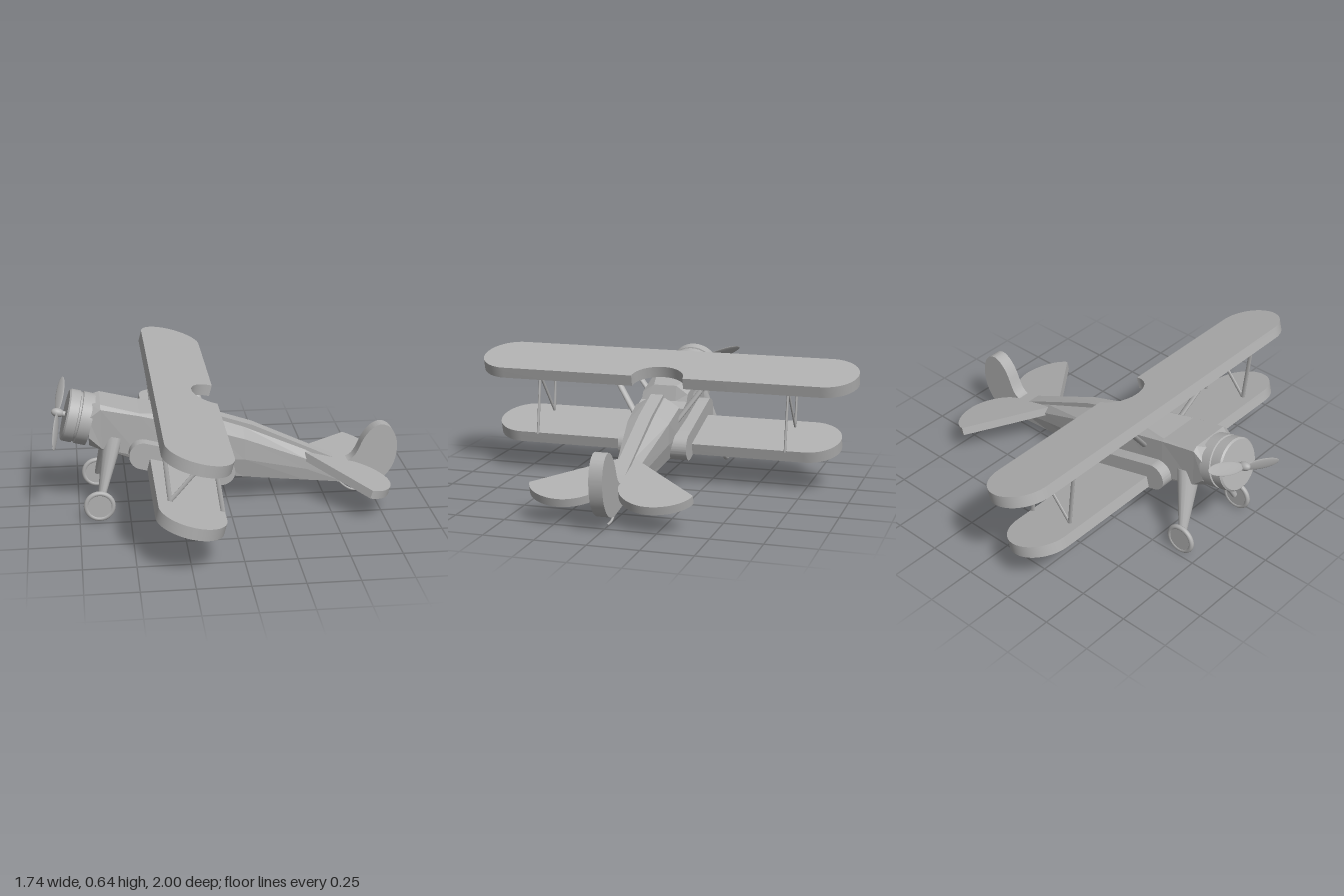
import * as THREE from 'three';
import { toCreasedNormals } from 'three/addons/utils/BufferGeometryUtils.js';

const TILT = 0.26; // nose-up attitude, nose towards -x

export function createModel() {
  const model = new THREE.Group();
  const grey = new THREE.MeshStandardMaterial({ color: 0xb0b0b0 });
  grey.name = 'plain grey';

  const add = (name, geo, parent = model) => {
    const mesh = new THREE.Mesh(geo, grey);
    mesh.name = name;
    parent.add(mesh);
    return mesh;
  };
  // extruded slab, centred on its thickness
  const slab = (shape, depth, curveSegments = 20) => toCreasedNormals(
    new THREE.ExtrudeGeometry(shape, { depth, bevelEnabled: false, curveSegments }).translate(0, 0, -depth / 2), 0.6);
  // horizontal slab following the tilt of the aircraft
  const tiltedPlate = (shape, depth, x, y) =>
    slab(shape, depth).rotateX(-Math.PI / 2).rotateZ(-TILT).translate(x, y, 0);
  // tapered rod from a to b, flattened sideways
  const rod = (name, a, b, ra, rb, flat = 1) => {
    const p = new THREE.Vector3(...a), q = new THREE.Vector3(...b);
    const dir = q.clone().sub(p);
    const geo = new THREE.CylinderGeometry(rb, ra, dir.length(), 14).scale(1, 1, flat);
    const mesh = add(name, geo);
    mesh.quaternion.setFromUnitVectors(new THREE.Vector3(0, 1, 0), dir.normalize());
    mesh.position.copy(p).add(q).multiplyScalar(0.5);
  };
  // faceted hull from rows: x, then (y, half width) for top, shoulder, chine, bottom
  const hull = (rows) => {
    const rings = rows.map(([x, ...s]) => {
      const left = [0, 2, 4, 6].map((i) => [x, s[i], s[i + 1]]);
      return [...left, ...left.map(([a, y, z]) => [a, y, -z]).reverse()];
    });
    const pos = [];
    const tri = (...pts) => pts.forEach((p) => pos.push(...p));
    for (let r = 0; r < rings.length - 1; r++) {
      for (let i = 0; i < 8; i++) {
        const j = (i + 1) % 8, A = rings[r], B = rings[r + 1];
        tri(A[i], A[j], B[j]);
        tri(A[i], B[j], B[i]);
      }
    }
    const first = rings[0], last = rings[rings.length - 1];
    for (let i = 1; i < 7; i++) {
      tri(first[0], first[i + 1], first[i]);
      tri(last[0], last[i], last[i + 1]);
    }
    const geo = new THREE.BufferGeometry();
    geo.setAttribute('position', new THREE.Float32BufferAttribute(pos, 3));
    geo.computeVertexNormals();
    return geo;
  };

  // fuselage, with the open cockpit dip ahead of the spine
  add('fuselage', hull([
    [-0.69, 0.56, 0.06, 0.50, 0.12, 0.40, 0.12, 0.34, 0.06],
    [-0.63, 0.565, 0.10, 0.545, 0.123, 0.34, 0.115, 0.32, 0.08],
    [-0.44, 0.515, 0.11, 0.505, 0.123, 0.29, 0.12, 0.265, 0.11],
    [-0.21, 0.487, 0.06, 0.445, 0.12, 0.225, 0.12, 0.205, 0.11],
    [-0.195, 0.41, 0.06, 0.41, 0.12, 0.223, 0.12, 0.202, 0.11],
    [-0.14, 0.385, 0.06, 0.385, 0.118, 0.23, 0.118, 0.188, 0.11],
    [-0.085, 0.40, 0.05, 0.395, 0.115, 0.25, 0.115, 0.175, 0.10],
    [-0.075, 0.45, 0.04, 0.405, 0.115, 0.255, 0.115, 0.172, 0.10],
    [0.08, 0.395, 0.035, 0.355, 0.108, 0.245, 0.105, 0.143, 0.08],
    [0.40, 0.255, 0.033, 0.215, 0.06, 0.16, 0.058, 0.095, 0.045],
    [0.60, 0.17, 0.03, 0.13, 0.033, 0.11, 0.033, 0.068, 0.03],
  ]));
  const spine = new THREE.Shape([
    [-0.08, 0.38], [0.1, 0.33], [0.6, 0.1], [0.6, 0.18], [0.13, 0.4], [-0.07, 0.467],
  ].map((p) => new THREE.Vector2(...p)));
  add('spine', slab(spine, 0.066));

  // engine cowl with a groove round the middle
  const cowlProfile = [[0, -0.063], [0.131, -0.063], [0.131, -0.006], [0.124, -0.003], [0.124, 0.006],
    [0.131, 0.009], [0.131, 0.055], [0.123, 0.063], [0, 0.063]].map((p) => new THREE.Vector2(...p));
  const cowl = add('engineCowl', toCreasedNormals(new THREE.LatheGeometry(cowlProfile, 40), 0.5));
  cowl.rotation.z = Math.PI / 2 - TILT;
  cowl.position.set(-0.742, 0.47, 0);

  // propeller
  const propeller = new THREE.Group();
  propeller.name = 'propeller';
  propeller.position.set(-0.838, 0.496, 0);
  propeller.rotation.z = -TILT;
  model.add(propeller);
  add('spinner', new THREE.SphereGeometry(0.022, 20, 14).scale(1.5, 1, 1), propeller);
  add('propellerShaft', new THREE.CylinderGeometry(0.014, 0.014, 0.07, 16).rotateZ(Math.PI / 2), propeller)
    .position.x = 0.03;
  for (const turn of [0, Math.PI]) {
    const blade = add('propellerBlade', new THREE.SphereGeometry(1, 18, 14)
      .scale(0.006, 0.128, 0.034).rotateY(0.5).translate(0, 0.137, 0), propeller);
    blade.rotation.x = -1.16 + turn;
  }

  // wings with round tips; the upper one has a cockpit cutout
  const wingShape = (half, chord, cutout) => {
    const s = new THREE.Shape(), r = chord / 2, e = half - r;
    s.moveTo(r, -e);
    if (cutout) {
      s.lineTo(r, -0.135);
      s.absellipse(r, 0, 0.12, 0.135, -Math.PI / 2, Math.PI / 2, true);
    }
    s.lineTo(r, e);
    s.absarc(0, e, r, 0, Math.PI, false);
    s.lineTo(-r, -e);
    s.absarc(0, -e, r, Math.PI, Math.PI * 2, false);
    return s;
  };
  add('upperWing', tiltedPlate(wingShape(1, 0.325, true), 0.058, -0.223, 0.572));
  add('lowerWing', tiltedPlate(wingShape(0.917, 0.325, false), 0.058, -0.247, 0.232));

  // capsule fairing where the lower wing meets the body
  add('wingRootFairing', slab(wingShape(0.268, 0.136, false), 0.36)
    .rotateZ(Math.PI / 2 - TILT).translate(-0.237, 0.264, 0));

  // tailplane halves
  for (const side of [1, -1]) {
    const t = new THREE.Shape();
    t.moveTo(-0.2, 0);
    t.lineTo(-0.2, side * 0.045);
    t.lineTo(0.085, side * 0.4);
    t.bezierCurveTo(0.16, side * 0.385, 0.215, side * 0.3, 0.215, side * 0.215);
    t.bezierCurveTo(0.215, side * 0.12, 0.13, side * 0.035, 0.04, side * 0.03);
    t.lineTo(0.04, 0);
    add(side > 0 ? 'rightTailplane' : 'leftTailplane', tiltedPlate(t, 0.042, 0.585, 0.174));
  }

  // fin and rudder
  const fin = new THREE.Shape();
  fin.moveTo(0.52, 0.21);
  fin.lineTo(0.575, 0.188);
  fin.bezierCurveTo(0.65, 0.17, 0.665, 0.23, 0.69, 0.285);
  fin.bezierCurveTo(0.72, 0.345, 0.76, 0.374, 0.79, 0.374);
  fin.bezierCurveTo(0.845, 0.372, 0.873, 0.31, 0.873, 0.25);
  fin.bezierCurveTo(0.873, 0.14, 0.81, 0.05, 0.7, 0.052);
  fin.lineTo(0.55, 0.075);
  add('finAndRudder', slab(fin, 0.066));

  // tail skid
  const skidPath = new THREE.CatmullRomCurve3([[0.57, 0.075], [0.61, 0.035], [0.65, 0.012], [0.71, 0.008]]
    .map(([x, y]) => new THREE.Vector3(x, y, 0)));
  add('tailSkid', new THREE.TubeGeometry(skidPath, 16, 0.006, 8));

  // struts, legs and wheels, mirrored
  for (const s of [1, -1]) {
    const z = 0.66 * s;
    rod('frontWingStrut', [-0.367, 0.59, z], [-0.335, 0.27, z], 0.011, 0.011, 0.55);
    rod('rearWingStrut', [-0.137, 0.53, z], [-0.09, 0.21, z], 0.011, 0.011, 0.55);
    rod('diagonalWingStrut', [-0.125, 0.53, z], [-0.34, 0.28, z], 0.01, 0.01, 0.55);
    rod('frontCabaneStrut', [-0.368, 0.59, 0.26 * s], [-0.322, 0.4, 0.1 * s], 0.016, 0.016, 0.6);
    rod('rearCabaneStrut', [-0.14, 0.54, 0.25 * s], [-0.072, 0.33, 0.1 * s], 0.016, 0.016, 0.6);

    rod('landingLeg', [-0.573, 0.38, 0.075 * s], [-0.648, 0.085, 0.205 * s], 0.06, 0.018, 0.75);
    const wheel = new THREE.Group();
    wheel.name = s > 0 ? 'leftWheel' : 'rightWheel';
    wheel.position.set(-0.651, 0.079, 0.22 * s);
    model.add(wheel);
    add('tyre', new THREE.TorusGeometry(0.066, 0.0125, 12, 40), wheel);
    add('wheelDisc', new THREE.CylinderGeometry(0.058, 0.058, 0.018, 32).rotateX(Math.PI / 2), wheel);
  }
  return model;
}
